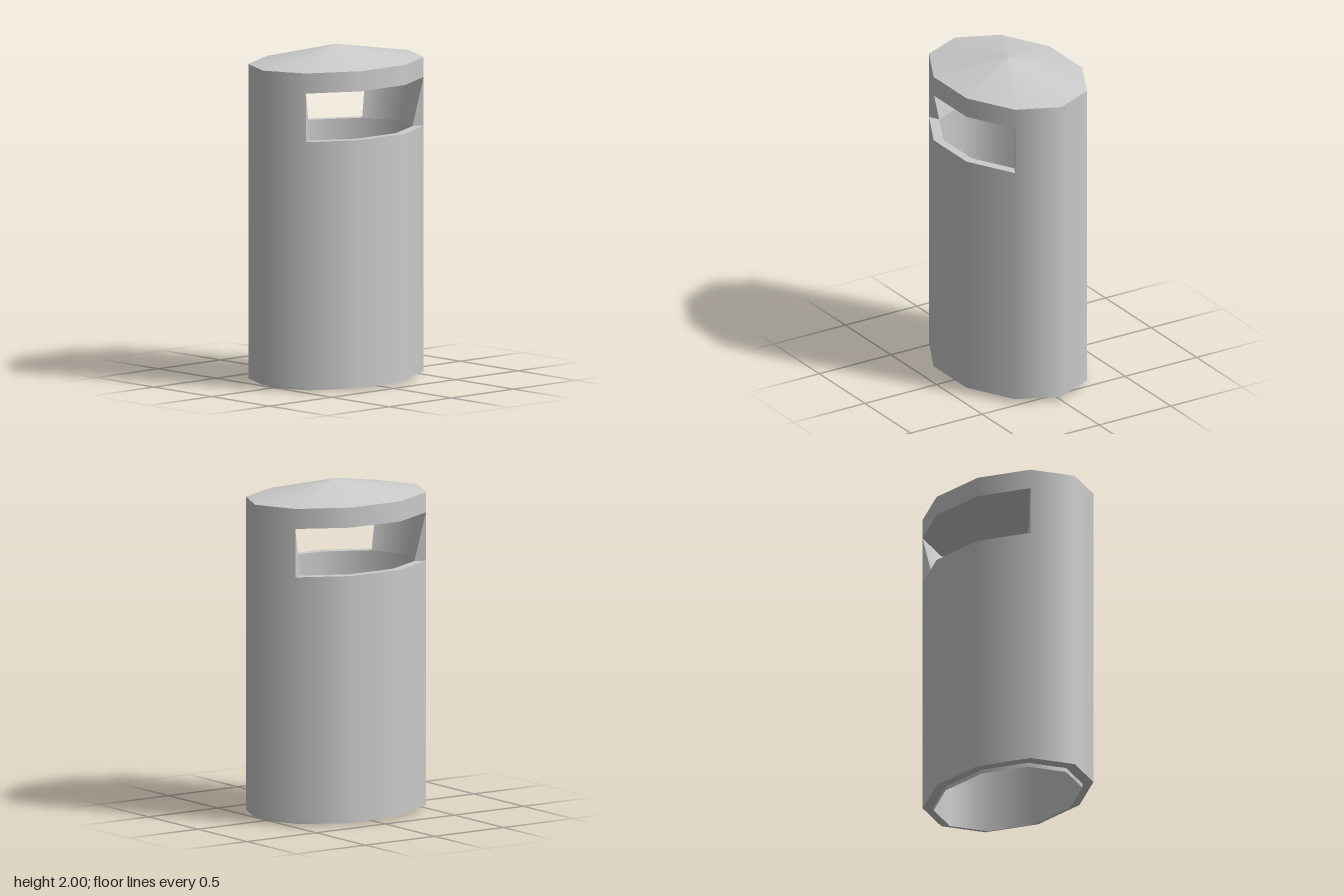
import * as THREE from 'three';

const RX = 0.585, RZ = 0.4255; // outer oval half-axes
const INNER = 0.872;           // inner wall as a share of the outer oval
const SIDES = 10, STEP = (Math.PI * 2) / SIDES;
const Y = { wall: 0.025, slotLow: 1.49, slotHigh: 1.78, eave: 1.9, apex: 2 };

export function createModel() {
  const model = new THREE.Group();
  model.name = 'litterBin';
  const solid = new THREE.MeshStandardMaterial({ color: 0xcccccc });
  const thin = new THREE.MeshStandardMaterial({ color: 0xcccccc, side: THREE.DoubleSide });

  // Unit-radius geometry is stretched to the oval and lifted into place
  const add = (name, geometry, y, material = solid) => {
    geometry.scale(RX, 1, RZ).translate(0, y, 0);
    const mesh = new THREE.Mesh(geometry, material);
    mesh.name = name;
    model.add(mesh);
  };
  // Open wall between two heights; the angle runs from +z towards +x
  const wall = (name, rTop, rLow, y0, y1, material, sides = SIDES, start = Math.PI / 2) =>
    add(name, new THREE.CylinderGeometry(rTop, rLow, y1 - y0, sides, 1, true, start, sides * STEP),
      (y0 + y1) / 2, material);

  // Shell: lower body, inner liner that also forms the recessed foot, and top band
  wall('outerBody', 1, 1, Y.wall, Y.slotLow, solid);
  wall('innerLiner', INNER, INNER, 0, Y.slotLow, thin);
  wall('topBand', 1, 1, Y.slotHigh, Y.eave, solid);
  add('bottomRim', new THREE.RingGeometry(INNER, 1, SIDES, 1).rotateX(Math.PI / 2), Y.wall);

  // Shallow pointed roof and its flat underside
  add('roof', new THREE.ConeGeometry(1, Y.apex - Y.eave, SIDES, 1, true, Math.PI / 2),
    (Y.apex + Y.eave) / 2);
  add('roofUnderside', new THREE.CircleGeometry(1, SIDES).rotateX(Math.PI / 2), Y.slotHigh);

  // Side pillars: upright outside, inside leaning out to meet the band
  for (const side of [1, -1]) {
    const start = side * Math.PI / 2 - STEP;
    wall('pillarOuter', 1, 1, Y.slotLow, Y.slotHigh, solid, 2, start);
    wall('pillarInner', 1, INNER, Y.slotLow, Y.slotHigh, thin, 2, start);

    // Triangular pillar ends facing the front and back slots
    for (const end of [1, -1]) {
      const x = side * Math.cos(STEP), z = end * Math.sin(STEP), h = Y.slotHigh - Y.slotLow;
      const triangle = new THREE.BufferGeometry().setFromPoints([
        new THREE.Vector3(x, 0, z),
        new THREE.Vector3(x, h, z),
        new THREE.Vector3(x * INNER, 0, z * INNER),
      ]);
      if (side * end < 0) triangle.setIndex([0, 1, 2]);
      else triangle.setIndex([0, 2, 1]);
      triangle.computeVertexNormals();
      add('slotEnd', triangle, Y.slotLow, thin);
    }
  }

  // Sills of the front and back slots
  for (const start of [STEP, STEP + Math.PI]) {
    add('slotSill', new THREE.RingGeometry(INNER, 1, 3, 1, start, 3 * STEP).rotateX(-Math.PI / 2),
      Y.slotLow);
  }
  return model;
}
